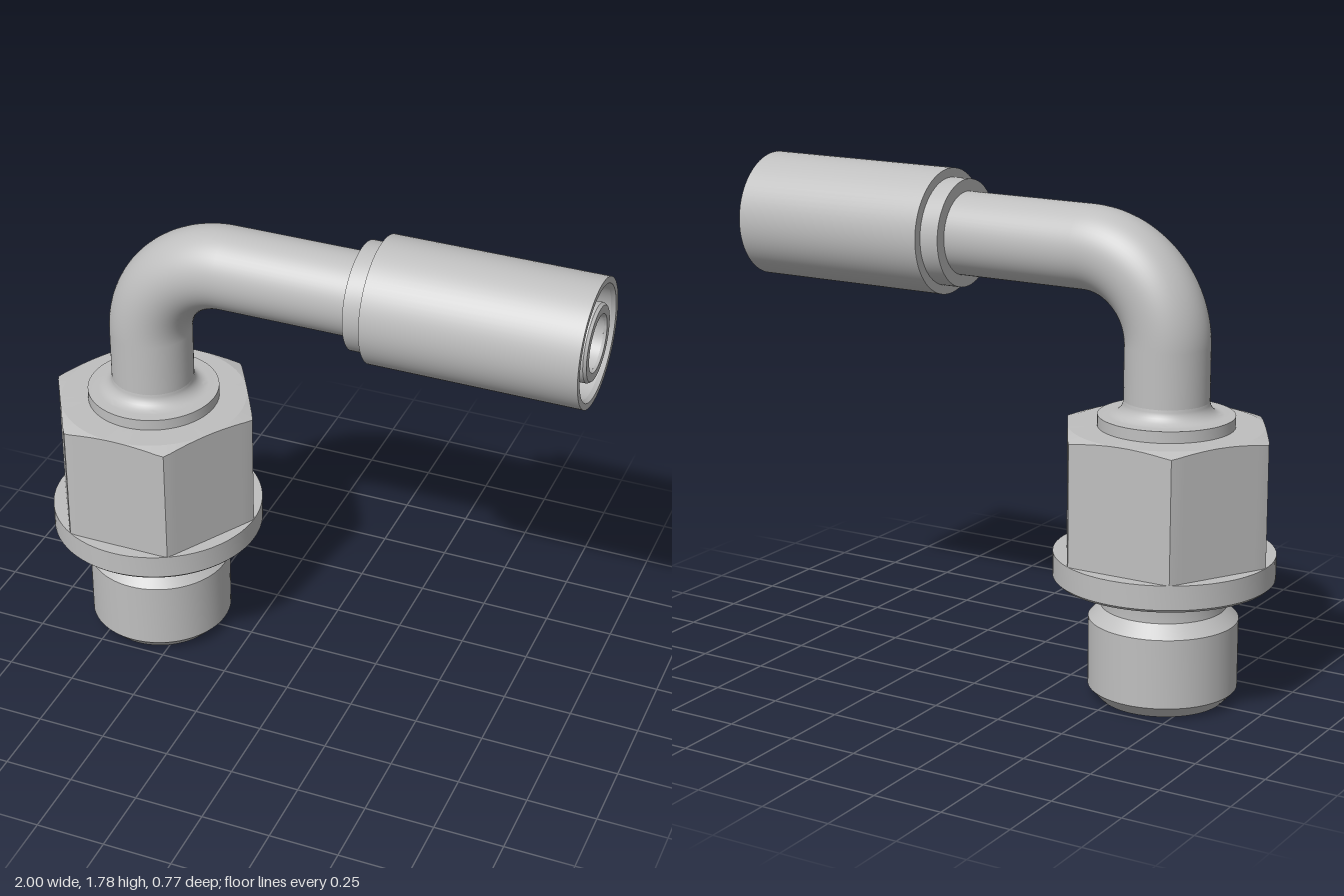
import * as THREE from 'three';
import { toCreasedNormals } from 'three/addons/utils/BufferGeometryUtils.js';

const AXIS_X = -0.616;   // vertical axis of the threaded end
const PIPE_Y = 1.555;    // height of the horizontal hose end
const BEND = 0.305;      // centreline radius of the elbow
const BEND_Y = PIPE_Y - BEND;
const BEND_X = AXIS_X + BEND;

const steel = new THREE.MeshStandardMaterial({ color: 0xbfbfbf, side: THREE.DoubleSide });
steel.name = 'steel grey';

function add(parent, name, geometry) {
  const mesh = new THREE.Mesh(geometry, steel);
  mesh.name = name;
  parent.add(mesh);
  return mesh;
}

// Turned part from [radius, height] pairs, with crisp edges
function turned(profile) {
  const points = profile.map(([r, y]) => new THREE.Vector2(r, y));
  return toCreasedNormals(new THREE.LatheGeometry(points, 72), 0.4);
}

// Concave quarter fillet centred at (r, y)
function fillet(r, y, radius, from, to) {
  return Array.from({ length: 9 }, (_, i) => {
    const a = from + (to - from) * i / 8;
    return [r + radius * Math.cos(a), y + radius * Math.sin(a)];
  });
}

// Upright run, quarter bend and horizontal run of one round tube
function elbow(name, radius, bottom, end) {
  const group = new THREE.Group();
  group.name = name;
  const tube = (length) => new THREE.CylinderGeometry(radius, radius, length, 64, 1, true);
  add(group, name + 'Upright', tube(BEND_Y - bottom)).position.set(AXIS_X, (BEND_Y + bottom) / 2, 0);
  add(group, name + 'Bend', new THREE.TorusGeometry(BEND, radius, 64, 32, Math.PI / 2).rotateZ(Math.PI / 2))
    .position.set(BEND_X, BEND_Y, 0);
  add(group, name + 'Run', tube(end - BEND_X).rotateZ(-Math.PI / 2)).position.set((BEND_X + end) / 2, PIPE_Y, 0);
  return group;
}

// Hexagon with corners on the x axis and a conical chamfer on top
function hexNut(flat, bottom, top) {
  const n = 96, pos = [];
  const hexRadius = (a) => {
    const sector = Math.PI / 3;
    const local = ((a % sector) + sector) % sector - sector / 2;
    return Math.min(flat / Math.cos(local), 0.384);
  };
  const ring = (i) => {
    const a = i / n * Math.PI * 2, r = hexRadius(a);
    const at = (rad, y) => [rad * Math.cos(a), y, -rad * Math.sin(a)];
    return [at(r, bottom), at(r, top - (r - flat) * 0.32), at(flat - 0.002, top), at(0.2, top)];
  };
  for (let i = 0; i < n; i++) {
    const p = ring(i), q = ring(i + 1);
    for (let k = 0; k < 3; k++) {
      pos.push(...p[k], ...q[k], ...q[k + 1], ...p[k], ...q[k + 1], ...p[k + 1]);
    }
  }
  const geometry = new THREE.BufferGeometry();
  geometry.setAttribute('position', new THREE.Float32BufferAttribute(pos, 3));
  geometry.computeVertexNormals();
  return toCreasedNormals(geometry, 0.15);
}

export function createModel() {
  const model = new THREE.Group();
  model.name = 'elbowHoseFitting';

  // Threaded stud with countersunk mouth, undercut and flange
  add(model, 'threadedStudAndFlange', turned([
    [0.095, 0.025], [0.117, 0], [0.218, 0], [0.26, 0.045], [0.26, 0.29], [0.218, 0.335],
    ...fillet(0.248, 0.4, 0.03, Math.PI, Math.PI / 2),
    [0.374, 0.43], [0.384, 0.44], [0.384, 0.525], [0.3, 0.525],
  ])).position.x = AXIS_X;

  add(model, 'hexNut', hexNut(0.335, 0.525, 0.97)).position.x = AXIS_X;

  // Collar blending into the pipe
  add(model, 'collar', turned([
    [0.235, 0.965], [0.235, 1.01],
    ...fillet(0.197, 1.06, 0.05, -Math.PI / 2, -Math.PI),
  ])).position.x = AXIS_X;

  model.add(elbow('pipe', 0.147, 1.0, 0.2));
  model.add(elbow('bore', 0.095, 0.025, 0.99));

  // Crimp sleeve with the hose nipple inside its open end
  add(model, 'crimpSleeveAndNipple', turned([
    [0.147, 0.18], [0.19, 0.18], [0.19, 0.25], [0.2225, 0.25], [0.2225, 1], [0.2, 1],
    [0.192, 0.985], [0.192, 0.3], [0.135, 0.3], [0.135, 0.99], [0.128, 1], [0.099, 1], [0.095, 0.99],
  ]).rotateZ(-Math.PI / 2)).position.y = PIPE_Y;

  return model;
}
